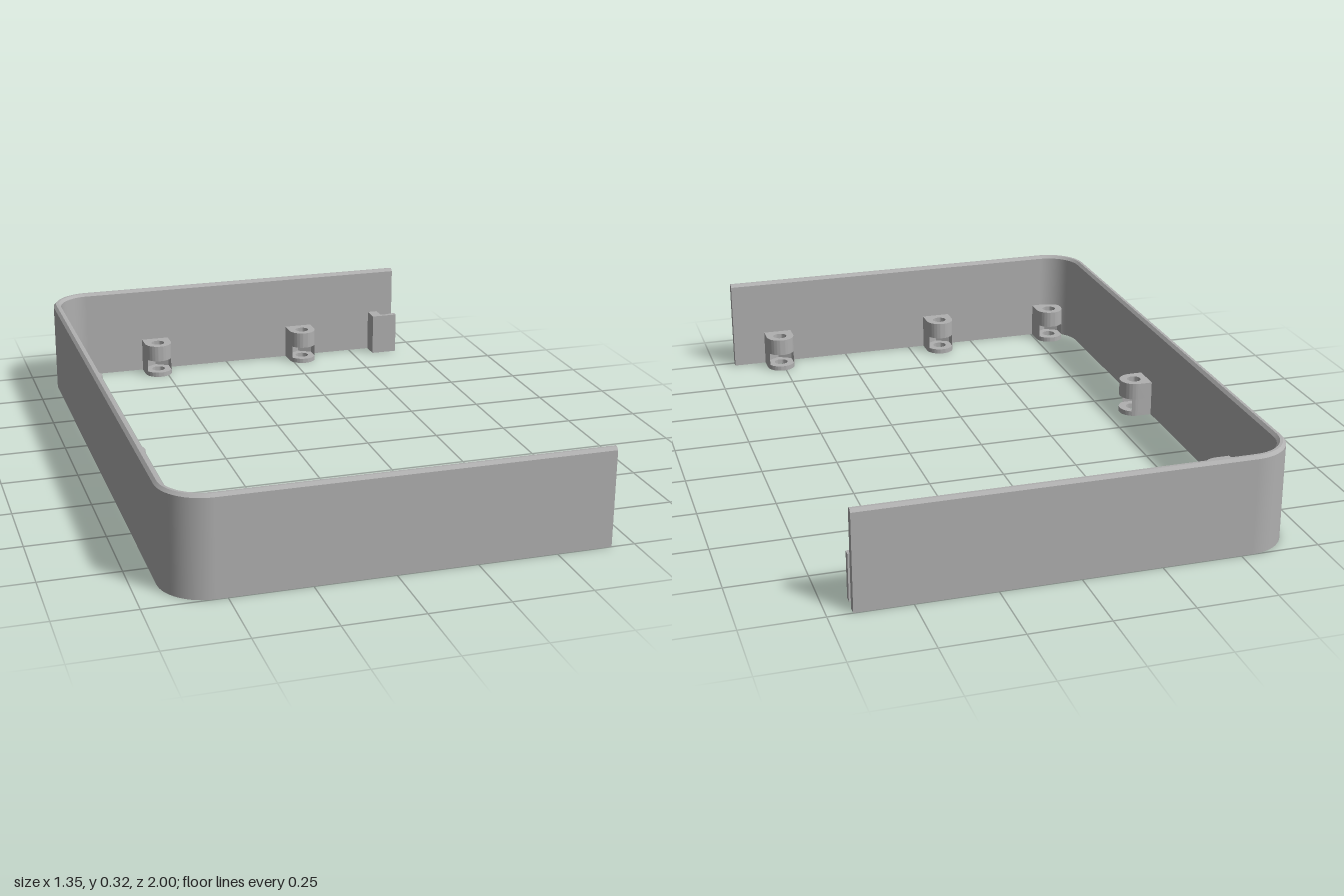
import * as THREE from 'three';
import { toCreasedNormals } from 'three/addons/utils/BufferGeometryUtils.js';

const HALF_X = 0.675, HALF_Z = 1, RADIUS = 0.14, WALL = 0.027, HEIGHT = 0.318;

// U-shaped wall: a chamfered cross-section swept around two rounded corners
function wallGeometry() {
  const c = 0.009;
  const profile = [[0, 0], [0, HEIGHT - c], [c, HEIGHT], [WALL - c, HEIGHT], [WALL, HEIGHT - c], [WALL, 0]];
  const path = [{ x: HALF_X, z: -HALF_Z, nx: 0, nz: 1 }];
  const corner = (cz, from, to) => {
    for (let i = 0; i <= 16; i++) {
      const a = from + (to - from) * i / 16, cos = Math.cos(a), sin = Math.sin(a);
      path.push({ x: -HALF_X + RADIUS + RADIUS * cos, z: cz + RADIUS * sin, nx: -cos, nz: -sin });
    }
  };
  corner(-HALF_Z + RADIUS, -Math.PI / 2, -Math.PI);
  corner(HALF_Z - RADIUS, Math.PI, Math.PI / 2);
  path.push({ x: HALF_X, z: HALF_Z, nx: 0, nz: -1 });

  const pos = [], index = [];
  const add = (p, [d, y]) => pos.push(p.x + p.nx * d, y, p.z + p.nz * d);
  // one strip per profile edge keeps the long edges sharp
  profile.forEach((a, k) => {
    const b = profile[(k + 1) % profile.length], base = pos.length / 3;
    path.forEach((p, i) => {
      add(p, a);
      add(p, b);
      if (i) {
        const q = base + 2 * (i - 1);
        index.push(q, q + 2, q + 3, q, q + 3, q + 1);
      }
    });
  });
  // end caps
  [path[0], path[path.length - 1]].forEach((p, end) => {
    const base = pos.length / 3;
    profile.forEach(q => add(p, q));
    for (let k = 1; k < profile.length - 1; k++) {
      index.push(base, base + k + (end ? 1 : 0), base + k + (end ? 0 : 1));
    }
  });
  const g = new THREE.BufferGeometry();
  g.setAttribute('position', new THREE.Float32BufferAttribute(pos, 3));
  g.setIndex(index);
  g.computeVertexNormals();
  return g;
}

// Extrude a plan shape upward from y0 to y1 (shape y becomes -z)
function slab(shape, y0, y1) {
  const g = new THREE.ExtrudeGeometry(shape, { depth: y1 - y0, bevelEnabled: false, curveSegments: 20 });
  g.rotateX(-Math.PI / 2).translate(0, y0, 0);
  return toCreasedNormals(g, 0.6);
}

// Rounded lug outline with a screw hole
function lugShape() {
  const s = new THREE.Shape();
  s.moveTo(-0.05, -0.06);
  s.lineTo(0.05, -0.06);
  s.lineTo(0.05, 0);
  s.absarc(0, 0, 0.05, 0, Math.PI, false);
  s.lineTo(-0.05, -0.06);
  const hole = new THREE.Path();
  hole.absarc(0, 0, 0.024, 0, Math.PI * 2, true);
  s.holes.push(hole);
  return s;
}

// Lug outline cut by a hexagonal nut slot that opens at the tip
function slotShape() {
  const s = new THREE.Shape();
  const w = 0.045, t = Math.acos(w / 0.05);
  s.moveTo(-0.05, -0.06);
  s.lineTo(0.05, -0.06);
  s.lineTo(0.05, 0);
  s.absarc(0, 0, 0.05, 0, t, false);
  s.lineTo(w, -0.026);
  s.lineTo(0, -0.052);
  s.lineTo(-w, -0.026);
  s.absarc(0, 0, 0.05, Math.PI - t, Math.PI, false);
  s.lineTo(-0.05, -0.06);
  return s;
}

export function createModel() {
  const model = new THREE.Group();
  model.name = 'enclosureFrame';
  const grey = new THREE.MeshStandardMaterial({ color: 0xb0b0b0 });
  grey.name = 'grey plastic';
  const mesh = (geometry, name, parent) => {
    const m = new THREE.Mesh(geometry, grey);
    m.name = name;
    parent.add(m);
    return m;
  };

  mesh(wallGeometry(), 'wall', model);

  // screw lugs: x, z, turn
  const base = slab(lugShape(), 0, 0.017);
  const slot = slab(slotShape(), 0.017, 0.062);
  const top = slab(lugShape(), 0.062, 0.12);
  [
    [-0.28, -0.92, Math.PI], [0.29, -0.92, Math.PI],
    [-0.6, -0.62, -Math.PI / 2], [-0.6, 0.13, -Math.PI / 2],
    [-0.555, 0.92, 0], [-0.11, 0.92, 0], [0.51, 0.92, 0],
  ].forEach(([x, z, turn], i) => {
    const lug = new THREE.Group();
    lug.name = 'screwLug' + (i + 1);
    mesh(base, 'lugBase', lug);
    mesh(slot, 'nutSlot', lug);
    mesh(top, 'lugTop', lug);
    lug.position.set(x, 0, z);
    lug.rotation.y = turn;
    model.add(lug);
  });

  // hooked clip at the open end of the back wall (plan points as x, -z)
  const clip = new THREE.Shape([
    [0.578, 0.98], [0.578, 0.91], [0.672, 0.91], [0.672, 0.932],
    [0.622, 0.922], [0.614, 0.93], [0.614, 0.98],
  ].map(([x, y]) => new THREE.Vector2(x, y)));
  mesh(slab(clip, 0, 0.15), 'endClip', model);

  return model;
}
